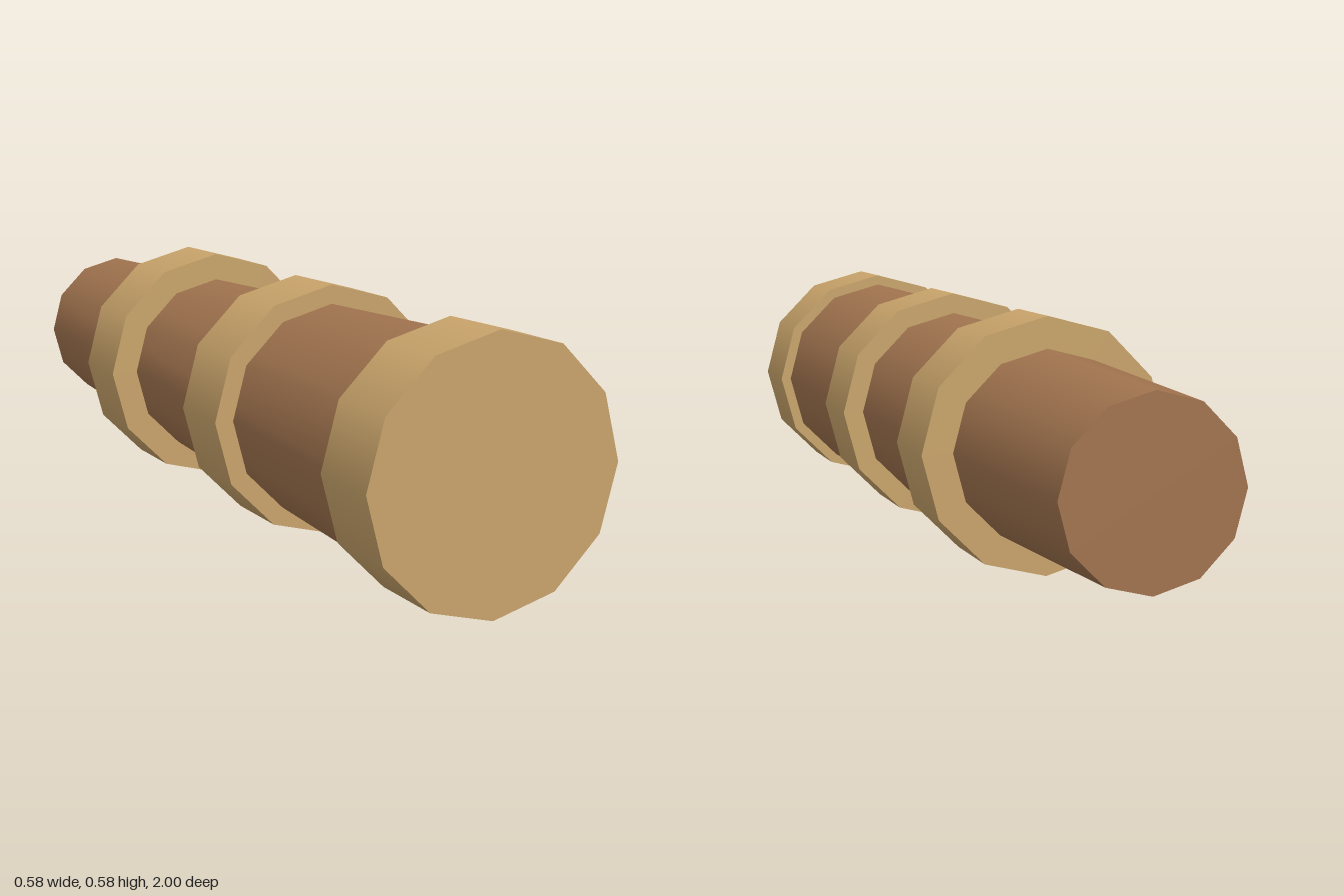
import * as THREE from 'three';

const SIDES = 12;
const CENTRE_Y = 0.289;

const wood = new THREE.MeshStandardMaterial({ color: 0xa0734e });
const brass = new THREE.MeshStandardMaterial({ color: 0xc8a36a });

// Closed twelve-sided cylinder lying along z, from zBack to zFront
function tube(name, rFront, rBack, zFront, zBack, material) {
  const geometry = new THREE.CylinderGeometry(rFront, rBack, zFront - zBack, SIDES);
  geometry.rotateX(Math.PI / 2);
  const mesh = new THREE.Mesh(geometry, material);
  mesh.name = name;
  mesh.position.set(0, CENTRE_Y, (zFront + zBack) / 2);
  return mesh;
}

export function createModel() {
  const group = new THREE.Group();
  group.name = 'spyglass';

  // Tapered barrel, its wide end inside the front band
  group.add(tube('barrel', 0.268, 0.199, 0.98, -1, wood));

  // Three equal bands around the barrel
  const bandWidth = 0.177;
  [['frontBand', 1], ['middleBand', 0.333], ['rearBand', -0.289]].forEach(([name, zFront]) => {
    group.add(tube(name, 0.289, 0.289, zFront, zFront - bandWidth, brass));
  });

  return group;
}
